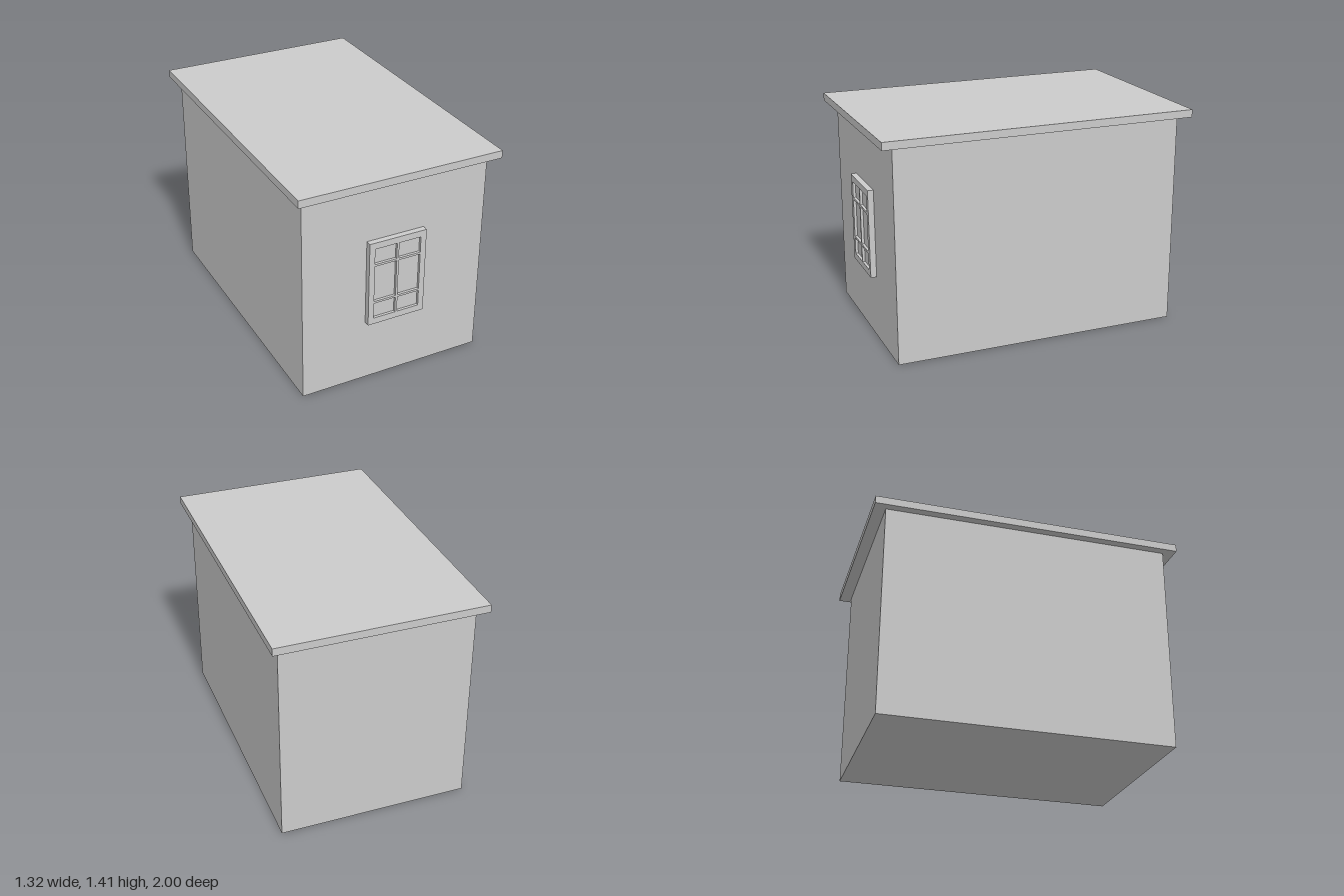
import * as THREE from 'three';

const material = new THREE.MeshStandardMaterial({ color: 0xcccccc });

// Box given by its centre in x and z, and its bottom and top heights
function slab(name, width, depth, bottom, top, z = 0) {
  const mesh = new THREE.Mesh(new THREE.BoxGeometry(width, top - bottom, depth), material);
  mesh.name = name;
  mesh.position.set(0, (bottom + top) / 2, z);
  return mesh;
}

// Adds a closed rectangle to a shape or path
function rectangle(path, x0, y0, x1, y1) {
  path.moveTo(x0, y0);
  path.lineTo(x1, y0);
  path.lineTo(x1, y1);
  path.lineTo(x0, y1);
  path.closePath();
  return path;
}

function createWindow(wallFront) {
  const group = new THREE.Group();
  group.name = 'window';
  const depth = 0.037;

  // Frame and glazing bars: one plate with two columns of three openings
  const shape = rectangle(new THREE.Shape(), -0.19, 0.412, 0.19, 0.98);
  const rows = [[0.454, 0.559], [0.573, 0.819], [0.833, 0.938]];
  for (const [y0, y1] of rows) {
    for (const [x0, x1] of [[-0.153, -0.007], [0.007, 0.153]]) {
      shape.holes.push(rectangle(new THREE.Path(), x0, y0, x1, y1));
    }
  }
  const frame = new THREE.Mesh(
    new THREE.ExtrudeGeometry(shape, { depth, bevelEnabled: false }), material);
  frame.name = 'windowFrame';
  frame.position.z = wallFront;

  // Glass set back behind the bars
  const glass = slab('windowGlass', 0.34, 0.02, 0.43, 0.96, wallFront + 0.01);
  group.add(frame, glass);
  return group;
}

export function createModel() {
  const model = new THREE.Group();
  model.name = 'smallHouse';
  const wallDepth = 1.85;
  model.add(
    slab('walls', 1.216, wallDepth, 0, 1.358),
    slab('flatRoof', 1.32, 2, 1.358, 1.407),
    createWindow(wallDepth / 2),
  );
  return model;
}
